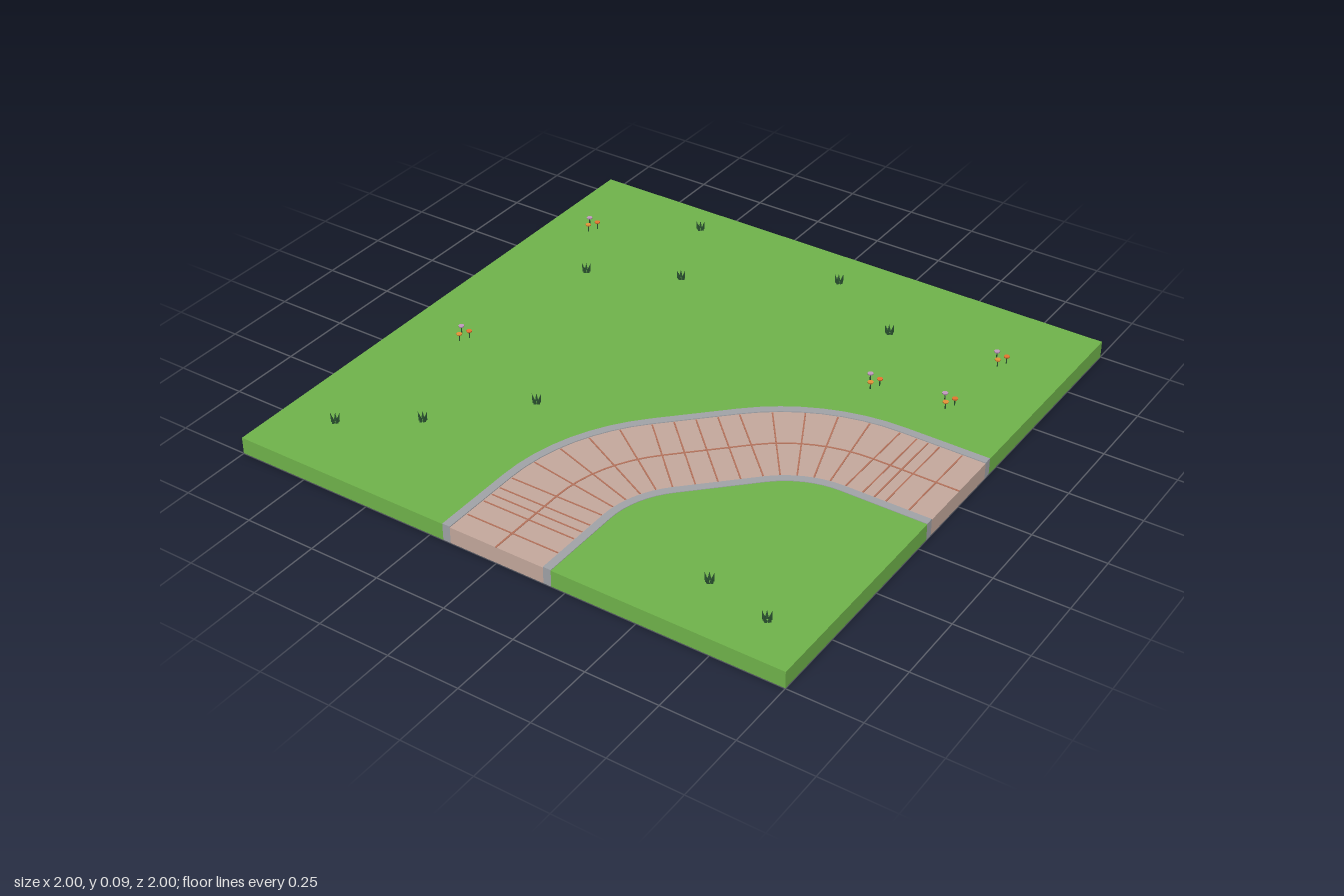
import * as THREE from 'three';

const mat = (name, color, side = THREE.FrontSide) => {
  const m = new THREE.MeshStandardMaterial({ color, side });
  m.name = name;
  return m;
};

// Edge of the road at offset o from its centreline (+ is the outside of the bend), as [x, z]
function edge(o) {
  const half = [[-o, 1]];
  for (let i = 0; i <= 8; i++) {
    const a = (i / 8) * Math.PI / 4, r = 0.5 + o;
    half.push([0.5 - r * Math.cos(a), 0.7 - r * Math.sin(a)]);
  }
  return [...half, ...half.map(([x, z]) => [z, x]).reverse()];
}

// Upright slab with a plan outline, between heights y0 and y1
function slab(name, outline, y0, y1, material) {
  const shape = new THREE.Shape(outline.map(([x, z]) => new THREE.Vector2(x, -z)));
  const geo = new THREE.ExtrudeGeometry(shape, { depth: y1 - y0, bevelEnabled: false });
  geo.rotateX(-Math.PI / 2).translate(0, y0, 0);
  const mesh = new THREE.Mesh(geo, material);
  mesh.name = name;
  return mesh;
}

const strip = (a, b) => [...edge(a), ...edge(b).reverse()];

export function createModel() {
  const grass = mat('grass green', 0x70b44b);
  const paving = mat('paving beige', 0xc5a99d);
  const kerbGrey = mat('kerb grey', 0xa1a3a8);
  const mortar = mat('mortar terracotta', 0xb5735c);
  const soil = mat('soil brown', 0x463630);
  const leaf = mat('dark leaf green', 0x2a5230);
  const petals = [mat('lilac petal', 0xc39abf), mat('orange petal', 0xe5762f), mat('amber petal', 0xe59238)];

  const model = new THREE.Group();
  model.name = 'roadTile';

  // Ground, road and kerbs
  model.add(
    slab('outerLawn', [...edge(0.2), [1, -1], [-1, -1], [-1, 1]], 0.001, 0.06, grass),
    slab('innerLawn', [...edge(-0.2), [1, 1]], 0.001, 0.06, grass),
    slab('pavedRoad', strip(0.172, -0.172), 0.001, 0.059, paving),
    slab('outerKerb', strip(0.2, 0.172), 0.001, 0.062, kerbGrey),
    slab('innerKerb', strip(-0.172, -0.2), 0.001, 0.062, kerbGrey),
    slab('centreJoint', strip(0.003, -0.003), 0.058, 0.0604, mortar),
  );
  const underside = new THREE.Mesh(new THREE.PlaneGeometry(2, 2), soil);
  underside.rotation.x = Math.PI / 2;
  underside.name = 'underside';
  model.add(underside);

  // Joints across the road: each is [x, z, angle], mirrored about the diagonal
  const joints = [];
  for (const z of [0.92, 0.84, 0.8, 0.76]) joints.push([0, z, 0]);
  for (let i = 0; i <= 5; i++) {
    const a = (i / 5) * Math.PI / 4;
    joints.push([0.5 - 0.5 * Math.cos(a), 0.7 - 0.5 * Math.sin(a), a]);
  }
  const [ex, ez, ea] = joints[joints.length - 1];
  joints.push([ex + 0.05, ez - 0.05, ea]);
  const all = [...joints, ...joints.map(([x, z, a]) => [z, x, Math.PI / 2 - a])];
  all.push([(ex + ez) / 2, (ex + ez) / 2, ea]);
  const jointGeo = new THREE.BoxGeometry(0.335, 0.002, 0.005);
  for (const [x, z, a] of all) {
    const joint = new THREE.Mesh(jointGeo, mortar);
    joint.position.set(x, 0.0594, z);
    joint.rotation.y = -a;
    joint.name = 'crossJoint';
    model.add(joint);
  }

  // Grass tufts: five leaning blades
  const bladeGeo = new THREE.ConeGeometry(0.007, 0.034, 4).translate(0, 0.017, 0);
  const tufts = [[-0.52, -0.88], [0.08, -0.84], [0.385, -0.655], [-0.39, -0.56], [-0.69, -0.415],
    [-0.35, 0.33], [-0.59, 0.61], [-0.815, 0.77], [0.61, 0.785], [0.84, 0.84]];
  for (const [x, z] of tufts) {
    const tuft = new THREE.Group();
    tuft.name = 'grassTuft';
    tuft.position.set(x, 0.059, z);
    for (let i = 0; i < 5; i++) {
      const a = (i / 5) * Math.PI * 2 + 0.3;
      const blade = new THREE.Mesh(bladeGeo, leaf);
      blade.position.set(0.009 * Math.cos(a), 0, 0.009 * Math.sin(a));
      blade.rotation.set(0.2 * Math.sin(a), 0, -0.2 * Math.cos(a));
      blade.scale.y = 0.8 + 0.1 * (i % 3);
      blade.name = 'blade';
      tuft.add(blade);
    }
    model.add(tuft);
  }

  // Flower clusters: three thin stems with flat heads
  const stemGeo = new THREE.CylinderGeometry(0.002, 0.002, 0.026, 5).translate(0, 0.013, 0);
  const headGeo = new THREE.CylinderGeometry(0.0105, 0.009, 0.005, 6).translate(0, 0.027, 0);
  const offsets = [[-0.021, -0.017], [0.02, -0.007], [0.004, 0.026]];
  for (const [x, z] of [[-0.85, -0.67], [0.775, -0.7], [0.495, -0.355], [0.75, -0.39], [-0.785, 0.155]]) {
    const cluster = new THREE.Group();
    cluster.name = 'flowerCluster';
    cluster.position.set(x, 0.059, z);
    offsets.forEach(([dx, dz], i) => {
      const stem = new THREE.Mesh(stemGeo, leaf);
      const head = new THREE.Mesh(headGeo, petals[i]);
      stem.name = 'stem';
      head.name = 'flowerHead';
      stem.position.set(dx, 0, dz);
      head.position.set(dx, 0, dz);
      cluster.add(stem, head);
    });
    model.add(cluster);
  }
  return model;
}
